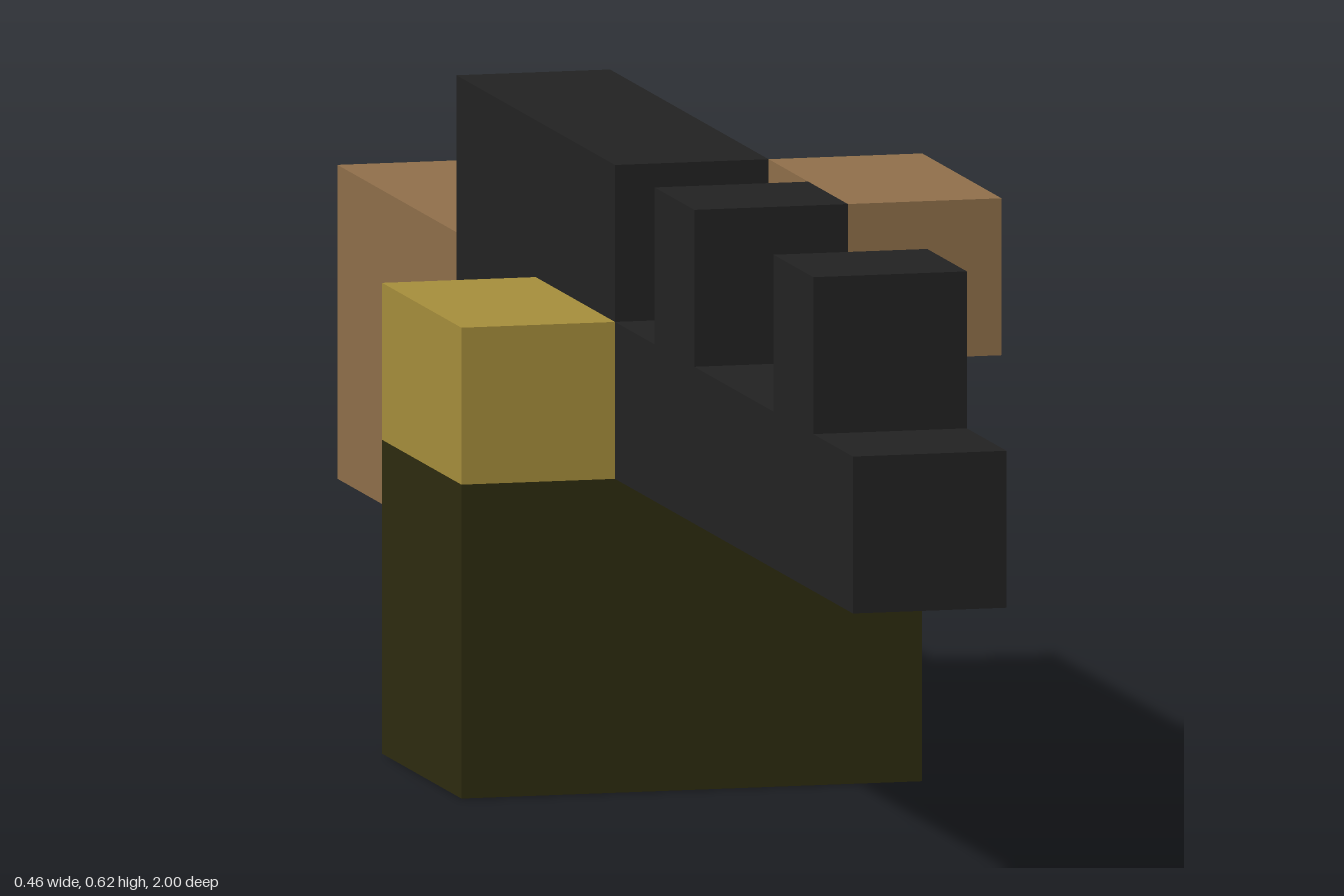
import * as THREE from 'three';

const U = 2 / 13; // one block

function material(name, color) {
  const m = new THREE.MeshStandardMaterial({ color });
  m.name = name;
  return m;
}

export function createModel() {
  const black = material('gunmetal black', 0x222222);
  const wood = material('wood brown', 0x8f6f4a);
  const brass = material('brass yellow', 0xa58d3b);
  const olive = material('dark olive', 0x2d2b0f);
  const group = new THREE.Group();
  group.name = 'blockGun';

  // Box between block coordinates [min, max] on each axis
  function block(name, mat, [x0, x1], [y0, y1], [z0, z1]) {
    const geo = new THREE.BoxGeometry((x1 - x0) * U, (y1 - y0) * U, (z1 - z0) * U);
    const mesh = new THREE.Mesh(geo, mat);
    mesh.name = name;
    mesh.position.set((x0 + x1) / 2 * U, (y0 + y1) / 2 * U, (z0 + z1) / 2 * U);
    group.add(mesh);
  }

  const mid = [-0.5, 0.5];

  // Barrel, receiver and sights
  block('barrel', black, mid, [2, 3], [0.5, 6.5]);
  block('receiver', black, mid, [2, 4], [-3.5, 0.5]);
  block('frontSight', black, mid, [3, 4], [4.5, 5.5]);
  block('rearSight', black, mid, [3, 4], [1.5, 2.5]);

  // Wooden furniture
  block('stockNeck', wood, mid, [2, 3], [-4.5, -3.5]);
  block('stockButt', wood, mid, [1, 3], [-6.5, -4.5]);
  block('grip', wood, mid, [1, 2], [-3.5, -2.5]);
  block('sideHandle', wood, [0.5, 1.5], [3, 4], [0.5, 2.5]);

  // Ammunition box and feed
  block('ammoBox', olive, [-1.5, 1.5], [0, 2], [-1.5, 0.5]);
  block('ammoFeed', brass, [-1.5, -0.5], [2, 3], [-1.5, 0.5]);

  return group;
}
